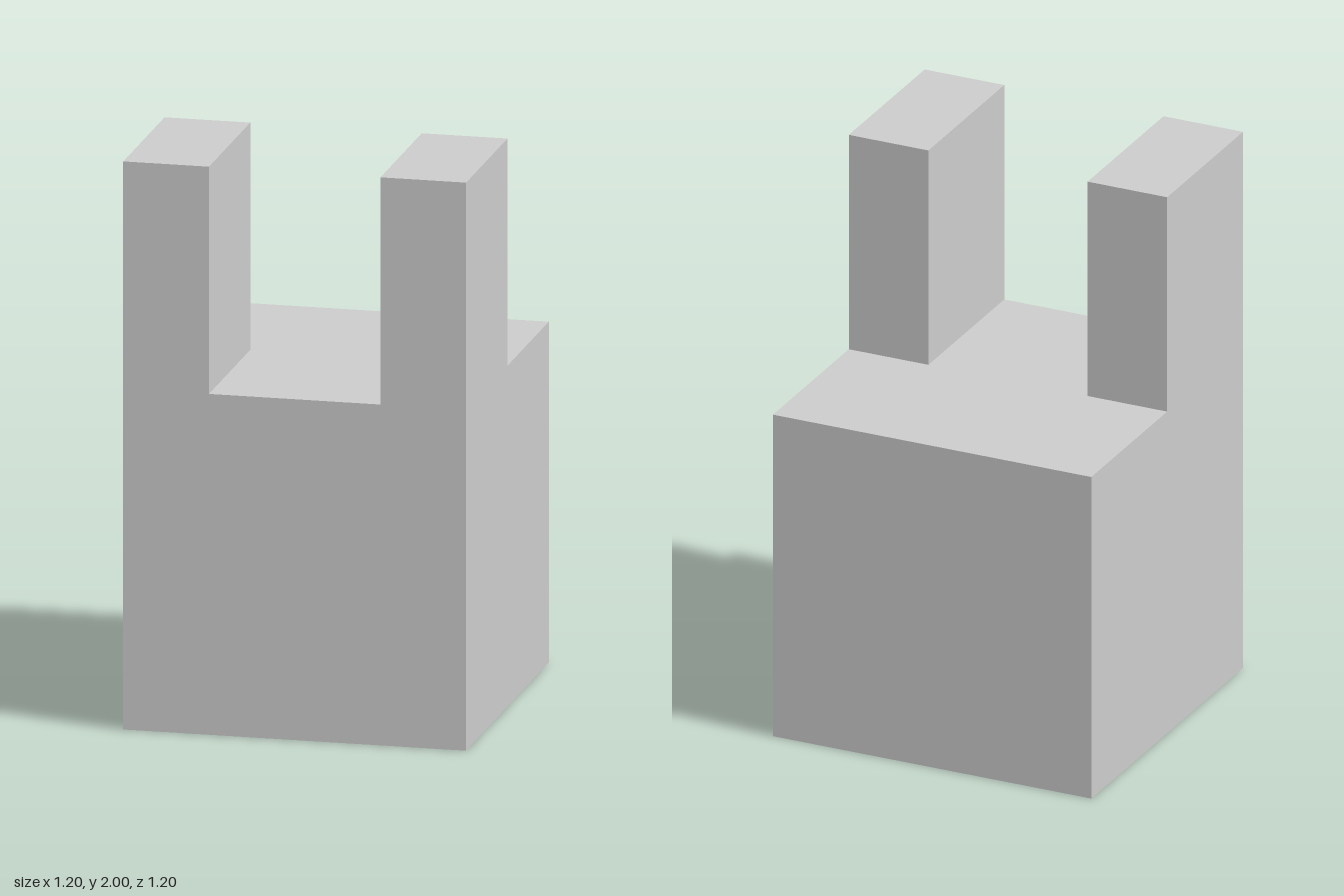
import * as THREE from 'three';

export function createModel() {
  const model = new THREE.Group();
  const material = new THREE.MeshStandardMaterial({ color: 0xcccccc, flatShading: true });

  // Adds a box standing on height y
  function addBlock(name, [w, h, d], [x, y, z]) {
    const mesh = new THREE.Mesh(new THREE.BoxGeometry(w, h, d), material);
    mesh.name = name;
    mesh.position.set(x, y + h / 2, z);
    model.add(mesh);
  }

  // Solid square body
  addBlock('body', [1.2, 1.2, 1.2], [0, 0, 0]);

  // Two upright prongs, flush with the front and outer sides
  for (const [name, side] of [['leftProng', 1], ['rightProng', -1]]) {
    addBlock(name, [0.3, 0.8, 0.6], [side * 0.45, 1.2, 0.3]);
  }

  return model;
}
